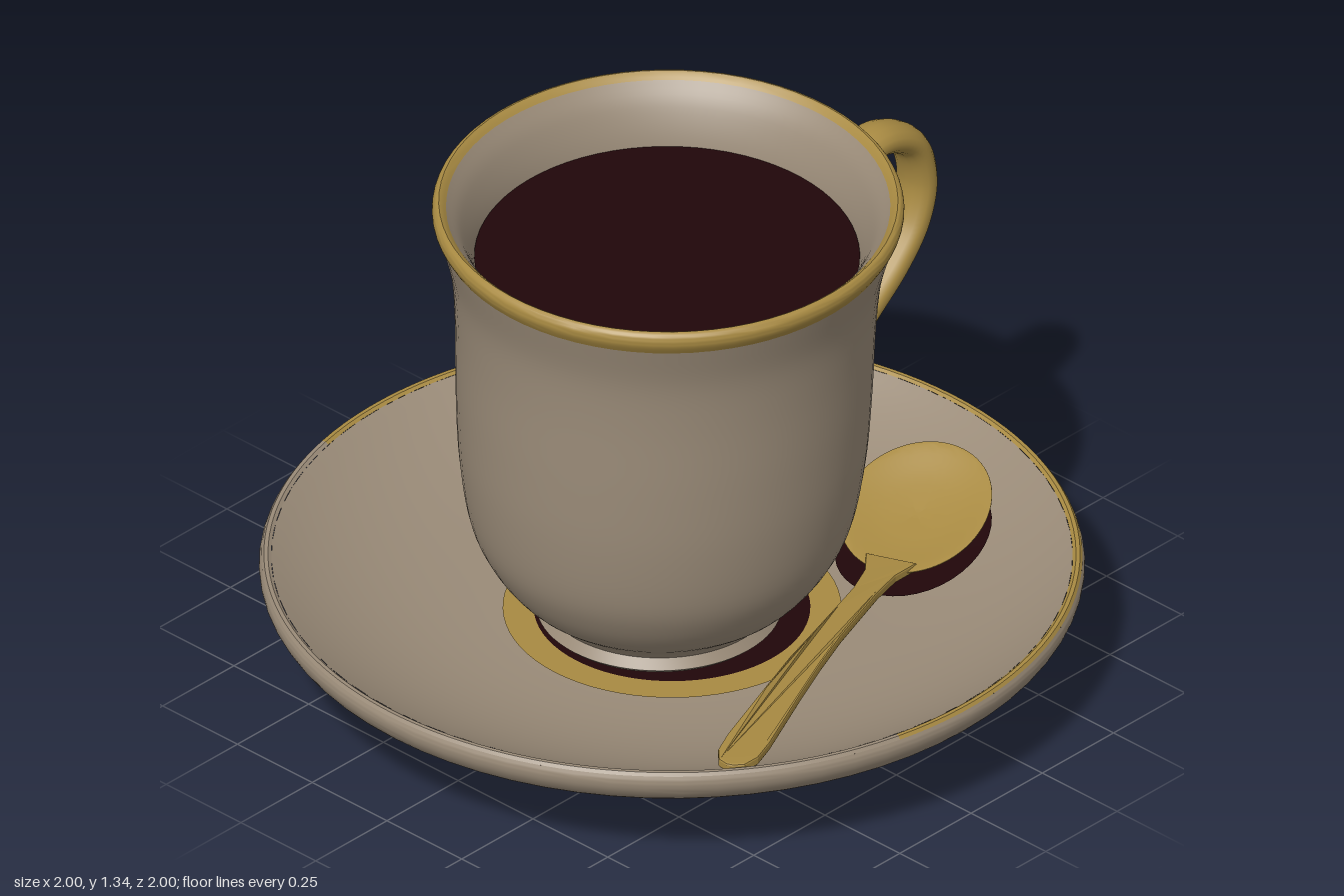
import * as THREE from 'three';
import { toCreasedNormals } from 'three/addons/utils/BufferGeometryUtils.js';

const SEG = 72;
const makeMaterial = (name, color, side = THREE.FrontSide) => {
  const m = new THREE.MeshStandardMaterial({ color, side });
  m.name = name;
  return m;
};
const vec = (pts) => pts.map(([x, y]) => new THREE.Vector2(x, y));
const smooth = (pts, n) => new THREE.SplineCurve(vec(pts)).getPoints(n);

// Height of the saucer's upper surface at radius r
const saucerY = (r) => 0.148 + 0.152 * Math.pow(Math.max(0, (r - 0.38) / 0.59), 2.4);

// Moves every vertex of a geometry by a rule
const warp = (geometry, rule) => {
  const p = geometry.attributes.position;
  const v = new THREE.Vector3();
  for (let i = 0; i < p.count; i++) {
    rule(v.fromBufferAttribute(p, i));
    p.setXYZ(i, v.x, v.y, v.z);
  }
  geometry.computeVertexNormals();
  return geometry;
};

export function createModel() {
  const model = new THREE.Group();
  const porcelain = makeMaterial('porcelain', 0x9a8b78);
  const gold = makeMaterial('gold', 0xa88a42, THREE.DoubleSide);
  const coffee = makeMaterial('coffee', 0x200609);

  const add = (parent, name, geometry, material) => {
    const mesh = new THREE.Mesh(geometry, material);
    mesh.name = name;
    parent.add(mesh);
    return mesh;
  };
  const lathe = (parent, name, points, material, start = 0, sweep = Math.PI * 2) =>
    add(parent, name, toCreasedNormals(new THREE.LatheGeometry(points, SEG, start, sweep), 0.6), material);
  const group = (name) => {
    const g = new THREE.Group();
    g.name = name;
    model.add(g);
    return g;
  };
  // Drapes a flat ring or disc over the saucer surface
  const drape = (geometry, lift) => warp(geometry, (v) => { v.y = saucerY(Math.hypot(v.x, v.z)) + lift; });

  // Saucer: tapered foot, rolled edge and dished top
  const saucer = group('saucer');
  lathe(saucer, 'saucerUnderside', [
    ...vec([[0, 0], [0.62, 0], [0.636, 0.012]]),
    ...smooth([[0.72, 0.095], [0.815, 0.185], [0.91, 0.2], [0.965, 0.217],
      [0.993, 0.25], [1, 0.28], [0.994, 0.298]], 24),
  ], porcelain);
  // The edge is gilded around the back and plain at the front
  const edge = vec([[0.994, 0.298], [0.988, 0.306], [0.978, 0.306], [0.97, 0.3]]);
  lathe(saucer, 'saucerGoldEdge', edge, gold, 1.35, Math.PI * 2 - 2.7);
  lathe(saucer, 'saucerPlainEdge', edge, porcelain, -1.35, 2.7);
  const top = [];
  for (let i = 0; i <= 24; i++) {
    const r = 0.97 - (0.59 * i) / 24;
    top.push(new THREE.Vector2(r, saucerY(r)));
  }
  top.push(new THREE.Vector2(0, 0.148));
  lathe(saucer, 'saucerTop', top, porcelain);

  // Painted rings around the foot of the cup
  const ring = (name, inner, outer, material) =>
    add(saucer, name, drape(new THREE.RingGeometry(inner, outer, SEG, 2).rotateX(-Math.PI / 2), 0.005), material);
  ring('wellDarkRing', 0.2, 0.335, coffee);
  ring('wellGoldRing', 0.335, 0.41, gold);

  // Dark oval beneath the spoon bowl
  const oval = new THREE.RingGeometry(0, 1, 40, 8).rotateX(-Math.PI / 2);
  oval.scale(0.185, 1, 0.22).rotateY(0.395).translate(0.25, 0, -0.585);
  add(saucer, 'darkOval', drape(oval, 0.005), coffee);

  // Cup: set a little forward, with a rim that dips to the front left
  const cup = group('cup');
  const settle = (v) => {
    v.y -= 0.027 * (v.x + v.z) * Math.min(1, Math.max(0, v.y / 1.2)) ** 2;
    v.z += 0.05 - 0.028 * v.y;
  };
  const cupPart = (name, points, material) => {
    const geometry = warp(new THREE.LatheGeometry(points, SEG), settle);
    return add(cup, name, toCreasedNormals(geometry, 0.6), material);
  };
  cupPart('cupOuterWall', [
    ...vec([[0, 0.168], [0.285, 0.168], [0.298, 0.18]]),
    ...smooth([[0.28, 0.205], [0.305, 0.232], [0.365, 0.28], [0.425, 0.36], [0.468, 0.46], [0.494, 0.62],
      [0.505, 0.8], [0.511, 1], [0.524, 1.14], [0.556, 1.262]], 44),
  ], porcelain);
  cupPart('cupGoldRim', smooth([[0.556, 1.262], [0.569, 1.285], [0.572, 1.303], [0.567, 1.317],
    [0.555, 1.323], [0.538, 1.308]], 14), gold);
  cupPart('cupInnerWall', smooth([[0.538, 1.308], [0.503, 1.26], [0.472, 1.18], [0.455, 1.08]], 14), porcelain);
  add(cup, 'coffeeSurface', warp(new THREE.CircleGeometry(0.467, SEG).rotateX(-Math.PI / 2).translate(0, 1.168, 0),
    settle), coffee);

  // Handle: flattened S-shaped tube with rounded ends
  const handle = group('cupHandle');
  handle.position.x = -0.01;
  handle.scale.x = 1.5;
  const path = [[0.995, -0.527], [1.06, -0.537], [1.115, -0.58], [1.148, -0.65], [1.155, -0.74],
    [1.1, -0.835], [0.99, -0.87], [0.88, -0.843], [0.79, -0.775], [0.7, -0.67], [0.62, -0.575],
    [0.55, -0.525], [0.475, -0.512]].map(([y, z]) => new THREE.Vector3(0, y, z));
  add(handle, 'handleLoop', new THREE.TubeGeometry(new THREE.CatmullRomCurve3(path), 80, 0.039, 16), gold);
  for (const end of [path[0], path[path.length - 1]]) {
    add(handle, 'handleEnd', new THREE.SphereGeometry(0.039, 20, 14), gold).position.copy(end);
  }
  // Upper joint against the cup wall
  const joint = add(handle, 'handleJoint', new THREE.SphereGeometry(0.045, 20, 14), gold);
  joint.scale.y = 2;
  joint.position.set(0, 1.055, -0.525);

  // Spoon resting on the saucer, its stem running along local z
  const spoon = group('spoon');
  spoon.position.set(0.277, 0.298, -0.565);
  spoon.rotation.y = 0.395;
  const bowl = lathe(spoon, 'spoonBowl', smooth([[0, -0.062], [0.08, -0.052], [0.15, -0.024], [0.18, 0],
    [0.167, 0.002], [0.09, -0.014], [0, -0.022]], 28), gold);
  bowl.scale.z = 1.2;
  bowl.rotation.x = 0.28;

  const outline = [[0.06, 0.17], [0.035, 0.24], [0.027, 0.34], [0.028, 0.45], [0.03, 0.6], [0.036, 0.75],
    [0.041, 0.9], [0.05, 1.13], [0.047, 1.2], [0.03, 1.24], [0.008, 1.252]];
  const shape = new THREE.Shape(vec([...outline, ...outline.map(([x, z]) => [-x, z]).reverse()]));
  const stem = new THREE.ExtrudeGeometry(shape, {
    depth: 0.014, bevelThickness: 0.005, bevelSize: 0.005, bevelSegments: 2,
  }).rotateX(Math.PI / 2);
  // The stem rises from the bowl, then lies level on the edge
  const rise = (v) => { v.y += 0.057 * THREE.MathUtils.smoothstep(v.z, 0.1, 0.85) - 0.05; };
  add(spoon, 'spoonHandle', warp(stem, rise), gold);

  return model;
}
